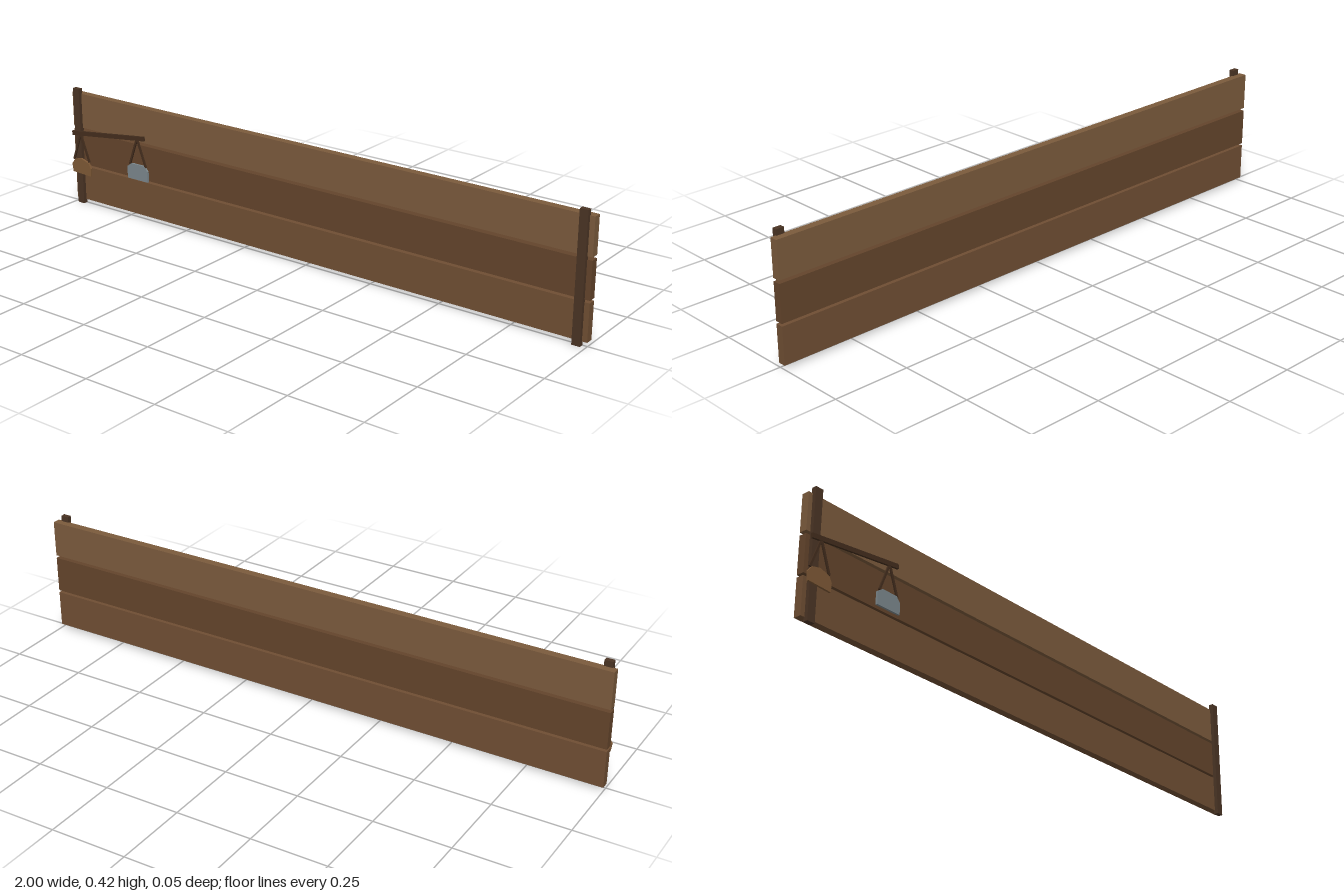
import * as THREE from 'three';

const mat = (color) => new THREE.MeshStandardMaterial({ color, flatShading: true });

export function createModel() {
  const model = new THREE.Group();
  const dark = mat(0x4a3424);
  const beamMat = mat(0x432d1d);

  const box = (parent, name, size, pos, material, angle = 0) => {
    const mesh = new THREE.Mesh(new THREE.BoxGeometry(...size), material);
    mesh.name = name;
    mesh.position.set(...pos);
    mesh.rotation.z = angle;
    parent.add(mesh);
    return mesh;
  };

  // Three long horizontal planks
  [[0.074, 0x6f4e33], [0.204, 0x63442b], [0.336, 0x7a5a3c]].forEach(([y, color], i) =>
    box(model, `plank${i + 1}`, [2, 0.122, 0.026], [0, y, -0.009], mat(color)));

  // Upright battens near both ends
  for (const [name, x] of [['rightPost', -0.972], ['leftPost', 0.97]])
    box(model, name, [0.027, 0.416, 0.016], [x, 0.208, 0.008], dark);

  // Tilted balance beam
  const scale = new THREE.Group();
  scale.name = 'balance';
  model.add(scale);
  box(scale, 'beam', [0.335, 0.015, 0.007], [-0.826, 0.276, 0.0195], beamMat, 0.125);

  // A cord is a thin bar between two points
  const cord = (x1, y1, x2, y2) => box(scale, 'cord',
    [0.007, Math.hypot(x2 - x1, y2 - y1), 0.005], [(x1 + x2) / 2, (y1 + y2) / 2, 0.019],
    beamMat, Math.atan2(x1 - x2, y2 - y1));

  // Block with a bevelled or arched top, hung from two cords
  const hangingBlock = (name, x, y, topY, outline, color) => {
    const shape = new THREE.Shape(outline.map(([px, py]) => new THREE.Vector2(px, py)));
    const geo = new THREE.ExtrudeGeometry(shape, { depth: 0.007, bevelEnabled: false });
    const mesh = new THREE.Mesh(geo, mat(color));
    mesh.name = name;
    mesh.position.set(x, y, 0.0155);
    scale.add(mesh);
    for (const s of [-1, 1]) cord(x, topY, x + s * 0.036, y + 0.05);
  };
  hangingBlock('woodBlock', -0.956, 0.11, 0.258, [[-0.04, 0.004], [0.042, 0], [0.044, 0.028],
    [0.034, 0.047], [0, 0.058], [-0.03, 0.051], [-0.044, 0.032]], 0x7d5835);
  hangingBlock('stoneBlock', -0.693, 0.145, 0.292, [[-0.045, 0], [0.045, 0], [0.045, 0.038],
    [0.03, 0.055], [-0.026, 0.055], [-0.045, 0.042]], 0x7b868b);

  return model;
}
